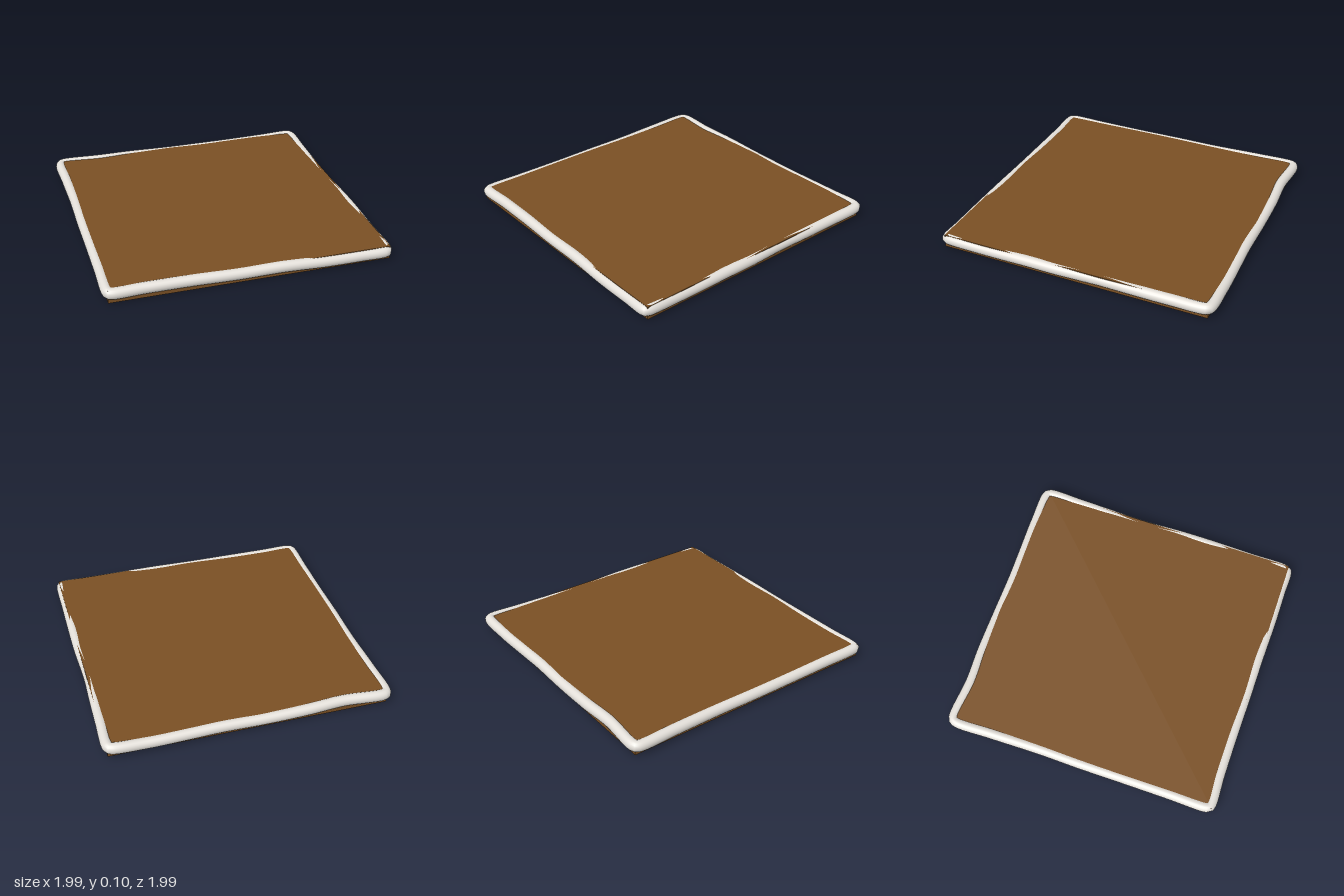
import * as THREE from 'three';

const wood = new THREE.MeshStandardMaterial({ color: 0x7a5024 });
wood.name = 'brown wood';
const icing = new THREE.MeshStandardMaterial({ color: 0xe4e0da });
icing.name = 'warm white';

const HALF = 0.955;    // half width of the slab
const TOP = 0.092;     // slab height
const RECESS = 0.02;   // depth of the panels sunk into the underside
const RIM = 0.038;     // rim radius

// Rectangle outline for a shape or a hole
function rect(path, x0, y0, x1, y1) {
  path.moveTo(x0, y0);
  path.lineTo(x1, y0);
  path.lineTo(x1, y1);
  path.lineTo(x0, y1);
  path.closePath();
  return path;
}

export function createModel() {
  const group = new THREE.Group();
  const add = (name, geometry, material) => {
    const mesh = new THREE.Mesh(geometry, material);
    mesh.name = name;
    group.add(mesh);
    return mesh;
  };

  // Solid upper slab
  add('slab', new THREE.BoxGeometry(2 * HALF, TOP - RECESS, 2 * HALF), wood)
    .position.y = (TOP + RECESS) / 2;

  // Lower layer with two rectangular recesses open to the underside
  const base = rect(new THREE.Shape(), -HALF, -HALF, HALF, HALF);
  for (const z of [-0.82, 0.08]) {
    base.holes.push(rect(new THREE.Path(), -0.83, z, 0.83, z + 0.74));
  }
  const baseGeometry = new THREE.ExtrudeGeometry(base, { depth: RECESS, bevelEnabled: false });
  baseGeometry.rotateX(-Math.PI / 2);
  add('recessedBase', baseGeometry, wood);

  // Wobbly rim: centre line running along each edge in turn
  const line = [
    // front edge
    [-0.94, 0.060, 0.938], [-0.70, 0.061, 0.937], [-0.40, 0.060, 0.938], [-0.10, 0.056, 0.943],
    [0.20, 0.059, 0.945], [0.50, 0.052, 0.952], [0.75, 0.051, 0.951], [0.93, 0.053, 0.948],
    // left edge
    [0.938, 0.055, 0.93], [0.942, 0.052, 0.65], [0.946, 0.057, 0.30], [0.945, 0.055, 0.10],
    [0.934, 0.054, -0.20], [0.940, 0.056, -0.45], [0.945, 0.060, -0.70], [0.947, 0.066, -0.93],
    // back edge
    [0.935, 0.067, -0.953], [0.70, 0.059, -0.961], [0.40, 0.057, -0.953], [0.20, 0.058, -0.948],
    [-0.10, 0.056, -0.951], [-0.40, 0.062, -0.950], [-0.65, 0.067, -0.938], [-0.94, 0.063, -0.950],
    // right edge
    [-0.957, 0.062, -0.93], [-0.955, 0.062, -0.65], [-0.947, 0.058, -0.30], [-0.950, 0.057, 0.00],
    [-0.948, 0.056, 0.30], [-0.948, 0.058, 0.65], [-0.949, 0.060, 0.92],
  ].map((p) => new THREE.Vector3(...p));
  const path = new THREE.CatmullRomCurve3(line, true, 'centripetal');
  add('rim', new THREE.TubeGeometry(path, 400, RIM, 20, true), icing);

  return group;
}
